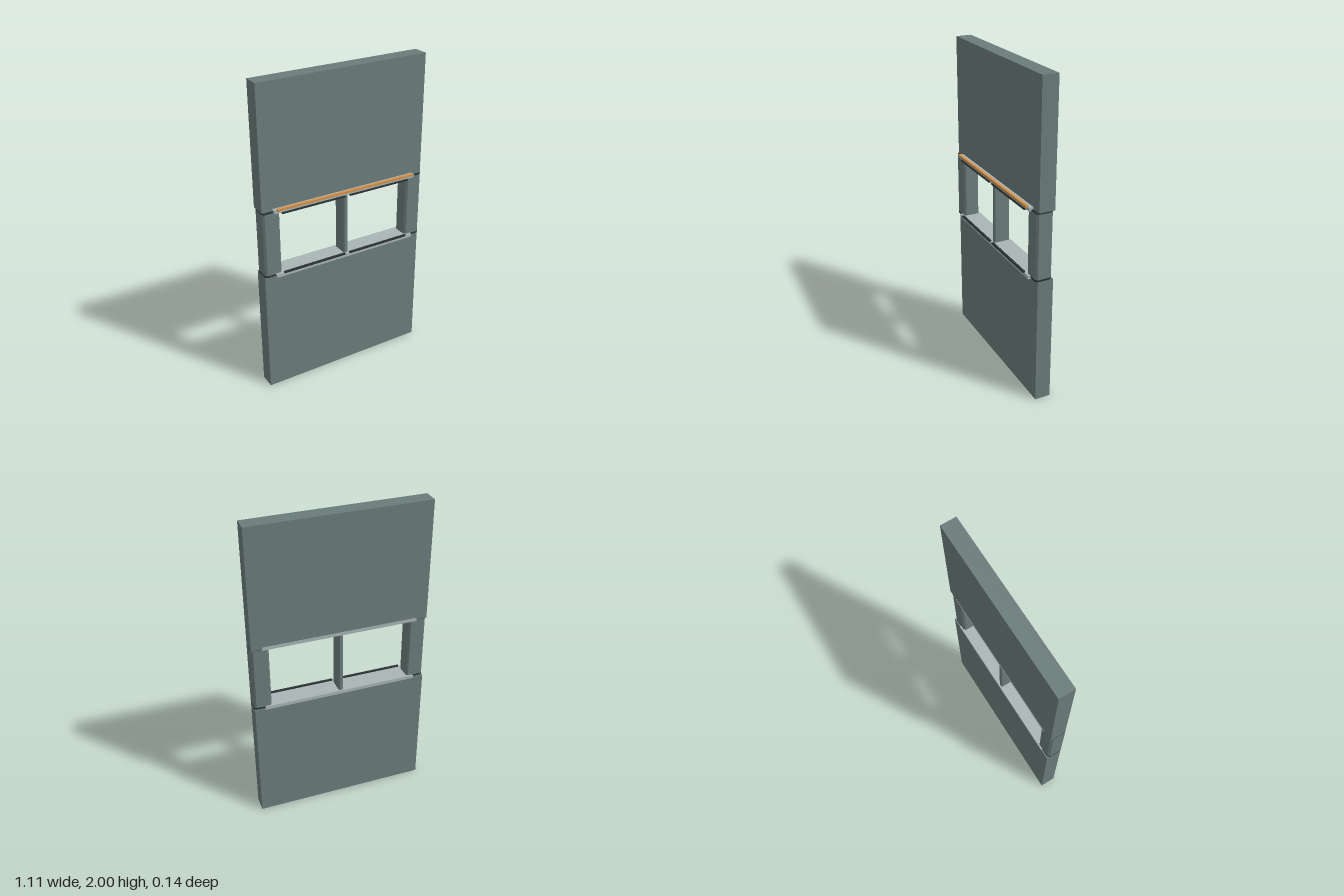
import * as THREE from 'three';

const material = (name, color) => {
  const m = new THREE.MeshStandardMaterial({ color });
  m.name = name;
  return m;
};

export function createModel() {
  const group = new THREE.Group();
  const slate = material('slate panel', 0x6b7c7b);
  const pale = material('pale trim', 0xa9b5b4);
  const dark = material('dark seal', 0x2b3336);
  const amber = material('amber strip', 0xd2914a);

  const add = (name, geometry, mat) => {
    const mesh = new THREE.Mesh(geometry, mat);
    mesh.name = name;
    group.add(mesh);
    return mesh;
  };

  // Box given by its limits on each axis
  const box = (name, mat, x0, x1, y0, y1, z0, z1) => {
    const g = new THREE.BoxGeometry(x1 - x0, y1 - y0, z1 - z0);
    g.translate((x0 + x1) / 2, (y0 + y1) / 2, (z0 + z1) / 2);
    return add(name, g, mat);
  };

  // Upright post with chamfered vertical edges
  const post = (name, mat, x0, x1, y0, y1, z0, z1, c) => {
    const outline = [
      [x0 + c, z0], [x1 - c, z0], [x1, z0 + c], [x1, z1 - c],
      [x1 - c, z1], [x0 + c, z1], [x0, z1 - c], [x0, z0 + c],
    ].map(([x, z]) => new THREE.Vector2(x, -z));
    const g = new THREE.ExtrudeGeometry(new THREE.Shape(outline), { depth: y1 - y0, bevelEnabled: false });
    g.rotateX(-Math.PI / 2);
    g.translate(0, y0, 0);
    return add(name, g, mat);
  };

  // Wall panels below and above the window
  box('lowerPanel', slate, -0.555, 0.555, 0, 0.81, -0.07, 0.029);
  box('upperPanel', slate, -0.555, 0.555, 1.235, 2, -0.07, 0.029);

  // Side posts with dark seals at both ends
  for (const s of [-1, 1]) {
    const [x0, x1] = s > 0 ? [0.445, 0.555] : [-0.555, -0.445];
    post('sidePost', slate, x0, x1, 0.822, 1.228, -0.062, 0.042, 0.012);
    post('lowerSeal', dark, x0, x1, 0.81, 0.822, -0.062, 0.042, 0.012);
    post('upperSeal', dark, x0, x1, 1.228, 1.235, -0.062, 0.042, 0.012);
  }

  // Centre mullion
  post('mullion', slate, -0.014, 0.014, 0.824, 1.226, -0.062, 0.042, 0.006);

  // Sill and header run through the wall
  box('sill', pale, -0.488, 0.488, 0.802, 0.824, -0.071, 0.057);
  box('header', pale, -0.488, 0.488, 1.226, 1.248, -0.071, 0.057);

  // Amber strip along the header's front edge
  box('amberStrip', amber, -0.472, 0.472, 1.244, 1.257, 0.052, 0.07);

  // Dark tracks at the bottom and top of each opening
  for (const s of [-1, 1]) {
    const [x0, x1] = s > 0 ? [0.016, 0.44] : [-0.44, -0.016];
    box('lowerTrack', dark, x0, x1, 0.822, 0.832, 0.05, 0.064);
    box('upperTrack', dark, x0, x1, 1.218, 1.228, 0.05, 0.064);
  }

  return group;
}
